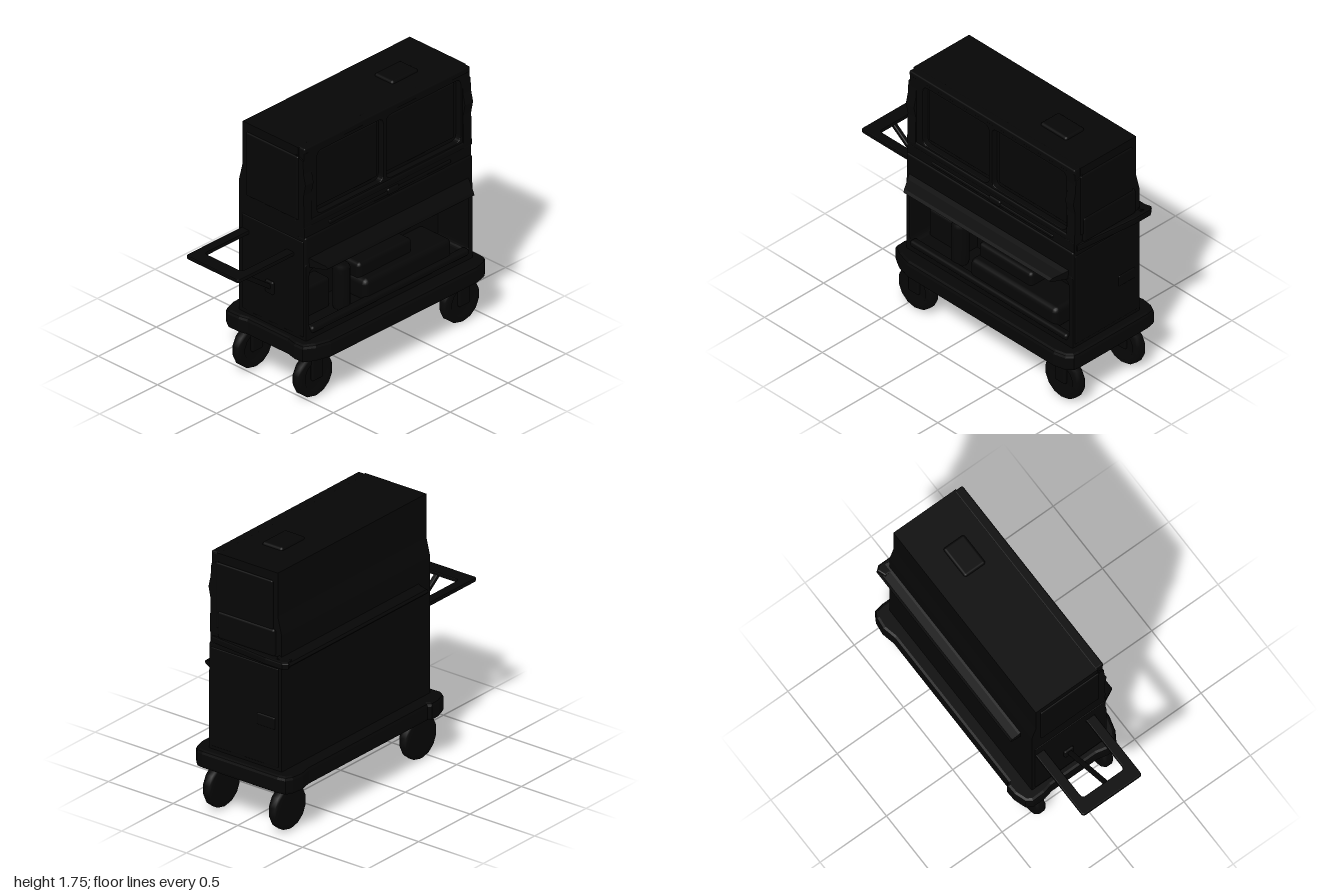
import * as THREE from 'three';
import { RoundedBoxGeometry } from 'three/addons/geometries/RoundedBoxGeometry.js';

const black = new THREE.MeshStandardMaterial({ color: 0x060606 });
black.name = 'matte black';

export function createModel() {
  const cart = new THREE.Group();
  cart.name = 'serviceCart';

  const add = (name, geo, parent = cart) => {
    const m = new THREE.Mesh(geo, black);
    m.name = name;
    parent.add(m);
    return m;
  };
  // Soft-edged box given by its limits
  const box = (name, x0, x1, y0, y1, z0, z1, r = 0.012, parent = cart) => {
    const m = add(name, new RoundedBoxGeometry(x1 - x0, y1 - y0, z1 - z0, 2, r), parent);
    m.position.set((x0 + x1) / 2, (y0 + y1) / 2, (z0 + z1) / 2);
    return m;
  };
  // Rectangle with rounded corners, as a Shape or a Path
  const rect = (x0, x1, y0, y1, r, p = new THREE.Shape()) => {
    p.moveTo(x0 + r, y0);
    p.lineTo(x1 - r, y0).quadraticCurveTo(x1, y0, x1, y0 + r);
    p.lineTo(x1, y1 - r).quadraticCurveTo(x1, y1, x1 - r, y1);
    p.lineTo(x0 + r, y1).quadraticCurveTo(x0, y1, x0, y1 - r);
    p.lineTo(x0, y0 + r).quadraticCurveTo(x0, y0, x0 + r, y0);
    return p;
  };
  const polygon = pts => new THREE.Shape(pts.map(p => new THREE.Vector2(...p)));
  const extrude = (shape, depth, bevel = 0) => new THREE.ExtrudeGeometry(shape, {
    depth: depth - 2 * bevel, curveSegments: 5, bevelEnabled: bevel > 0,
    bevelThickness: bevel, bevelSize: bevel, bevelOffset: -bevel, bevelSegments: 2,
  }).translate(0, 0, bevel);
  // Side profile of [z, y] points swept along x
  const sweepX = (name, pts, x0, x1) => {
    const m = add(name, extrude(polygon(pts), x1 - x0));
    m.rotation.y = -Math.PI / 2;
    m.position.x = x1;
    return m;
  };
  // Flat plan shape, with -z as its second axis, raised from y0 to y1
  const slab = (name, shape, y0, y1, bevel) => {
    const m = add(name, extrude(shape, y1 - y0, bevel));
    m.rotation.x = -Math.PI / 2;
    m.position.y = y0;
    return m;
  };
  // Upright panel with rounded openings
  const frame = (name, limits, holes, z, depth) => {
    const shape = rect(...limits, 0.02);
    holes.forEach(h => shape.holes.push(rect(...h, 0.04, new THREE.Path())));
    add(name, extrude(shape, depth, 0.007)).position.z = z;
  };

  // Cabinet: core behind the lower bay, then the framed fronts
  sweepX('cabinetCore', [
    [0.02, 0.4], [0.02, 0.92], [0.215, 0.92], [0.215, 1.74], [-0.255, 1.74],
    [-0.255, 1.45], [-0.285, 1.33], [-0.285, 0.4],
  ], -0.513, 0.932);
  frame('lowerBayFrame', [-0.513, 0.932, 0.4, 0.95], [[-0.48, 0.895, 0.47, 0.9]], 0.01, 0.27);
  frame('windowFrame', [-0.505, 0.93, 1.2, 1.74],
    [[-0.39, 0.18, 1.245, 1.68], [0.21, 0.85, 1.245, 1.68]], 0.19, 0.068);
  box('windowSill', -0.515, 0.935, 1.19, 1.235, 0.18, 0.268);
  box('topTrim', -0.505, 0.928, 1.705, 1.742, 0.2, 0.262, 0.01);
  box('topHatch', 0.44, 0.67, 1.72, 1.757, -0.08, 0.08, 0.018);
  for (const [x0, x1] of [[-0.37, 0.16], [0.23, 0.83]])
    box('windowPane', x0, x1, 1.27, 1.655, 0.2, 0.226, 0.01);

  // Corner posts with a slight swell
  for (const x of [-0.515, 0.865])
    sweepX('frontPost', [
      [0.2, 1.2], [0.268, 1.2], [0.262, 1.42], [0.278, 1.5], [0.262, 1.57], [0.256, 1.66], [0.2, 1.69],
    ], x, x + 0.07);

  // Drawer band and sloping front shelf with splayed ends
  box('drawerBand', -0.513, 0.932, 0.92, 1.13, 0.1, 0.278);
  box('drawerRecess', -0.513, 0.932, 1.12, 1.2, 0.1, 0.268, 0.005);
  box('drawerRail', -0.3, 0.75, 1.145, 1.17, 0.22, 0.275, 0.008);
  box('drawerLatch', 0.2, 0.3, 1.14, 1.185, 0.22, 0.28, 0.012);
  const shelf = sweepX('frontShelf', [
    [0.26, 0.92], [0.375, 0.92], [0.386, 0.93], [0.37, 0.945], [0.31, 0.97], [0.28, 0.985], [0.26, 0.985],
  ], -0.49, 0.9).geometry;
  const p = shelf.attributes.position;
  for (let i = 0; i < p.count; i++) {
    const inset = Math.max(0, p.getX(i) - 0.27) * 0.55;
    p.setZ(i, p.getZ(i) < 0.5 ? p.getZ(i) + inset : p.getZ(i) - inset);
  }
  shelf.computeVertexNormals();

  // Items stored in the lower bay
  box('storedCase', -0.46, -0.16, 0.46, 0.67, 0, 0.14, 0.02);
  box('longCase', 0.02, 0.77, 0.46, 0.61, 0, 0.265, 0.035);
  box('upperCase', 0.03, 0.49, 0.58, 0.7, 0, 0.2, 0.025);
  const canister = add('canister', new THREE.LatheGeometry(
    [[0, 0], [0.05, 0], [0.056, 0.02], [0.056, 0.28], [0.045, 0.3], [0, 0.3]]
      .map(q => new THREE.Vector2(...q)), 16));
  canister.position.set(-0.125, 0.47, 0.2);
  box('bayLip', -0.47, 0.89, 0.455, 0.5, 0.24, 0.295, 0.018);

  // Ledge along the back, tapering forward around the end
  sweepX('backLedge', [
    [-0.27, 1.125], [-0.31, 1.13], [-0.35, 1.14], [-0.362, 1.155], [-0.35, 1.17], [-0.3, 1.178], [-0.27, 1.195],
  ], -0.4, 0.96);
  slab('endLedge', polygon([
    [0.9, -0.25], [0.94, -0.25], [0.955, -0.1], [0.985, 0.2], [0.985, 0.33], [0.96, 0.36], [0.9, 0.34],
  ]), 1.13, 1.18, 0.012);
  box('endPanel', 0.9, 0.95, 1.18, 1.36, -0.24, 0.2, 0.015);

  // Raised end panels and latch plate
  for (const x of [-0.513, 0.932]) {
    box('upperEndPanel', x - 0.01, x + 0.01, 1.24, 1.68, -0.22, 0.22, 0.01);
    box('lowerEndPanel', x - 0.006, x + 0.006, 0.44, 1.1, -0.26, 0.26, 0.006);
  }
  box('endLatch', 0.92, 0.945, 0.69, 0.77, -0.24, -0.1, 0.01);

  // Bumper base: cut front corners, swollen back corners
  slab('bumperBase', polygon([
    [-0.4, -0.382], [0.87, -0.382], [0.95, -0.362], [0.99, -0.325], [0.996, -0.28],
    [0.996, 0.3], [0.985, 0.355], [0.94, 0.38], [0.86, 0.39], [0.77, 0.37],
    [-0.38, 0.37], [-0.4, 0.39], [-0.47, 0.387], [-0.55, 0.36], [-0.576, 0.32],
    [-0.574, 0.23], [-0.56, 0.17], [-0.56, -0.17], [-0.576, -0.24], [-0.572, -0.31], [-0.5, -0.355],
  ]), 0.298, 0.418, 0.022);

  // Castors, each with its fork on the front side
  for (const x of [-0.43, 0.84]) for (const z of [0.253, -0.256]) {
    const castor = new THREE.Group();
    castor.name = 'castor';
    castor.position.set(x, 0, z);
    cart.add(castor);
    const wheel = add('wheel', new THREE.LatheGeometry(
      [[0, -0.037], [0.1, -0.037], [0.138, -0.034], [0.149, -0.02], [0.149, 0.02],
        [0.138, 0.036], [0.1, 0.036], [0.09, 0.026], [0, 0.026]]
        .map(q => new THREE.Vector2(...q)), 14), castor);
    wheel.rotation.x = Math.PI / 2;
    wheel.position.y = 0.153;
    box('forkArm', -0.045, 0.045, 0.13, 0.31, 0.025, 0.05, 0.01, castor);
    const mount = add('mount', new THREE.CylinderGeometry(0.1, 0.065, 0.05, 14), castor);
    mount.scale.z = 0.55;
    mount.position.y = 0.285;
  }

  // Push handle: flat loop with one diagonal strut
  const loop = rect(-1, -0.49, -0.185, 0.26, 0.02);
  loop.holes.push(rect(-0.905, -0.5, -0.12, 0.195, 0.025, new THREE.Path()));
  slab('pushHandle', loop, 0.977, 1.004, 0.006);
  const a = new THREE.Vector2(-0.93, 0.985), b = new THREE.Vector2(-0.5, 0.67);
  const strut = add('handleStrut', new RoundedBoxGeometry(a.distanceTo(b), 0.03, 0.03, 2, 0.008));
  strut.position.set((a.x + b.x) / 2, (a.y + b.y) / 2, -0.015);
  strut.rotation.z = Math.atan2(b.y - a.y, b.x - a.x);
  box('strutFoot', -0.535, -0.5, 0.64, 0.73, -0.05, 0.02, 0.012);

  return cart;
}
